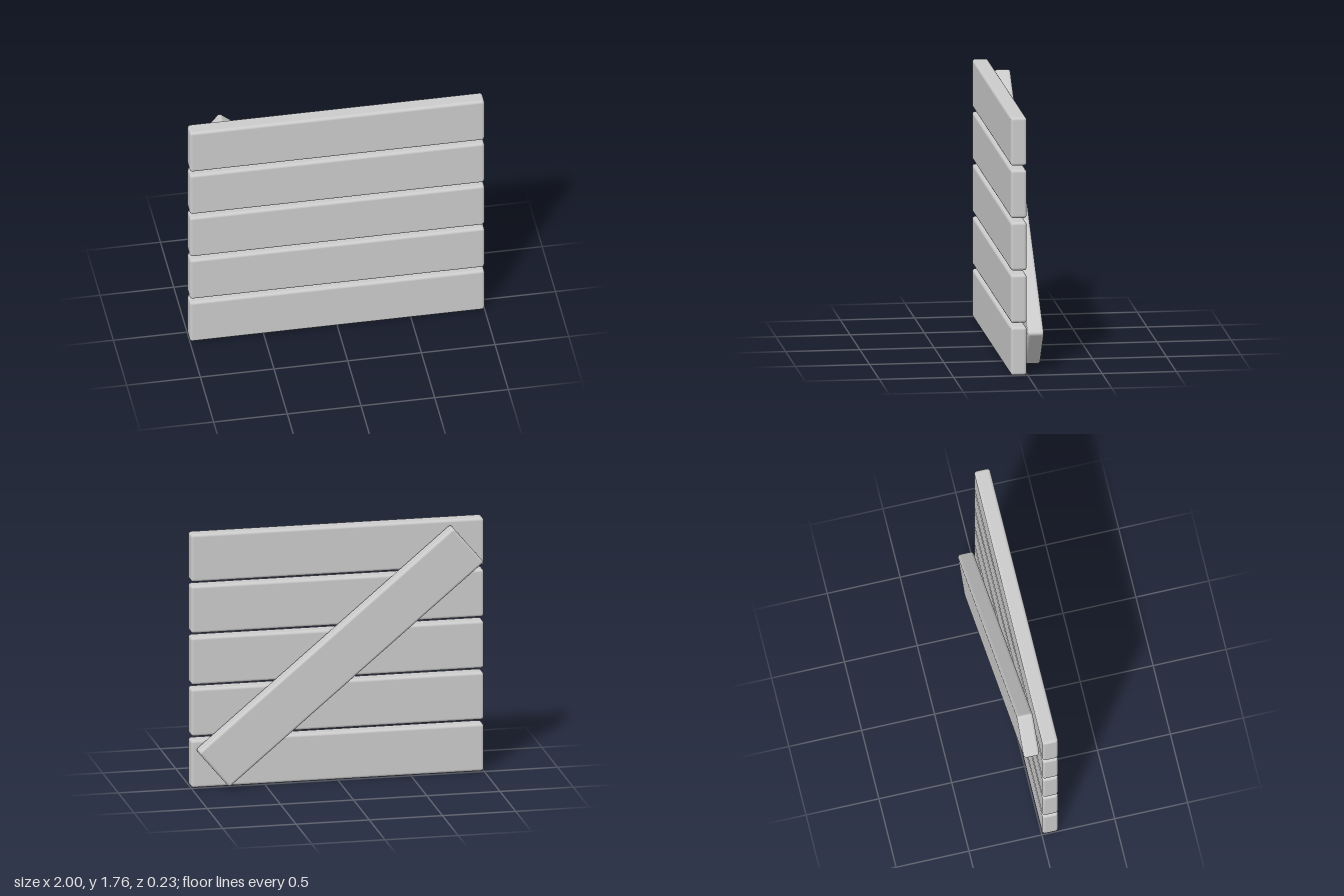
import * as THREE from 'three';
import { RoundedBoxGeometry } from 'three/addons/geometries/RoundedBoxGeometry.js';

const BOARD_HEIGHT = 0.33;
const BOARD_DEPTH = 0.108;
const BOARD_PITCH = 0.357;
const BOARD_COUNT = 5;
const EDGE_RADIUS = 0.02;
const BOARD_Z = 0.06;

export function createModel() {
  const group = new THREE.Group();
  group.name = 'plankPanel';
  const material = new THREE.MeshStandardMaterial({ color: 0xcccccc });

  // One board with softly rounded edges
  function addBoard(name, length, y, z) {
    const geometry = new RoundedBoxGeometry(length, BOARD_HEIGHT, BOARD_DEPTH, 3, EDGE_RADIUS);
    const mesh = new THREE.Mesh(geometry, material);
    mesh.name = name;
    mesh.position.set(0, y, z);
    group.add(mesh);
    return mesh;
  }

  // Horizontal planks stacked with narrow gaps
  for (let i = 0; i < BOARD_COUNT; i++) {
    addBoard(`plank${i + 1}`, 2, BOARD_HEIGHT / 2 + i * BOARD_PITCH, BOARD_Z);
  }

  // Diagonal brace behind the planks, high on the right and low on the left
  const midHeight = (BOARD_HEIGHT + (BOARD_COUNT - 1) * BOARD_PITCH) / 2;
  const brace = addBoard('diagonalBrace', 2.27, midHeight, -BOARD_Z);
  brace.rotation.z = THREE.MathUtils.degToRad(-40);

  return group;
}
